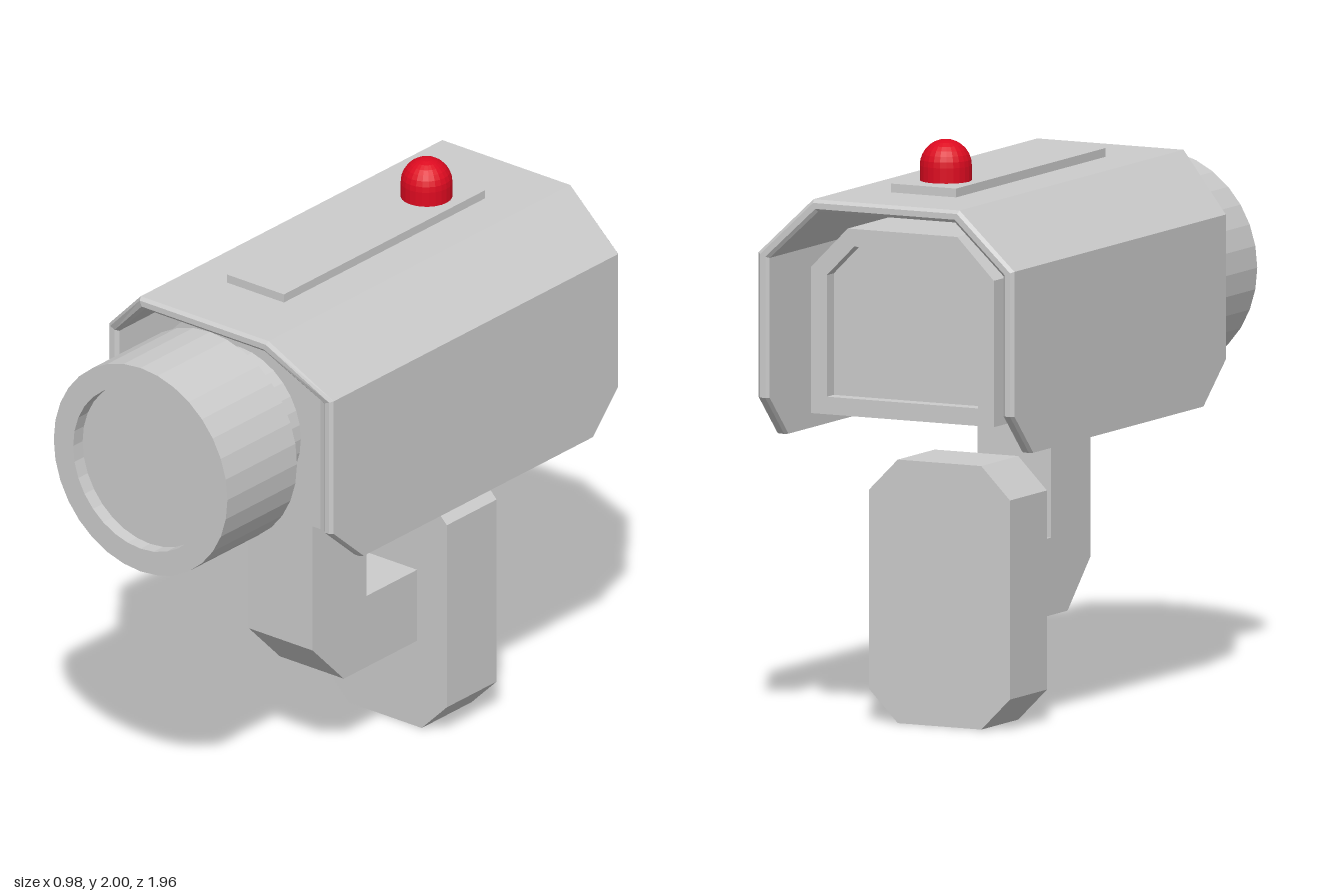
import * as THREE from 'three';

const grey = new THREE.MeshStandardMaterial({ color: 0xcccccc, flatShading: true });
const red = new THREE.MeshStandardMaterial({ color: 0xdd0a20, flatShading: true });

function part(name, geometry, material = grey) {
  const mesh = new THREE.Mesh(geometry, material);
  mesh.name = name;
  return mesh;
}

const toPoints = (list) => list.map(([x, y]) => new THREE.Vector2(x, y));

// Mirrors the +x half of an outline into a closed outline
function mirrored(half) {
  return toPoints([...half, ...half.map(([x, y]) => [-x, y]).reverse()]);
}

// Straight prism from z0 to z1, optionally with a hole
function prism(outline, z0, z1, hole) {
  const shape = new THREE.Shape(outline);
  if (hole) shape.holes.push(new THREE.Path(hole));
  const geo = new THREE.ExtrudeGeometry(shape, { depth: z1 - z0, bevelEnabled: false });
  return geo.translate(0, 0, z0);
}

// Lathe profile turned to point along +z
function turned(profile, segments, y) {
  return new THREE.LatheGeometry(toPoints(profile), segments).rotateX(Math.PI / 2).translate(0, y, 0);
}

// Bent sheet hood: a bevelled wall section carried over the folded path
function hoodGeometry() {
  const t = 0.042, b = 0.011, miter = 0.41;
  // x, y, inward direction, front z, back z
  const half = [
    [0.49, 1.0, -1, 0, 0.40, -0.84],
    [0.49, 1.14, -1, 0, 0.56, -0.975],
    [0.49, 1.635, -1, -miter, 0.56, -0.975],
    [0.28, 1.83, -miter, -1, 0.65, -0.975],
  ];
  const path = [...half, ...half.map(([x, y, dx, ...rest]) => [-x, y, -dx, ...rest]).reverse()];
  const rings = path.map(([x, y, dx, dy, zf, zb]) =>
    [[0, zf - b], [b, zf], [t - b, zf], [t, zf - b], [t, zb + b], [t - b, zb], [b, zb], [0, zb + b]]
      .map(([d, z]) => [x + dx * d, y + dy * d, z]));
  const pos = [];
  const tri = (...corners) => corners.forEach((p) => pos.push(...p));
  for (let i = 0; i < rings.length - 1; i++) {
    for (let j = 0; j < 8; j++) {
      const k = (j + 1) % 8, r = rings[i], s = rings[i + 1];
      tri(r[j], s[j], s[k]);
      tri(r[j], s[k], r[k]);
    }
  }
  const first = rings[0], last = rings[rings.length - 1];
  for (let j = 1; j < 7; j++) {
    tri(first[0], first[j], first[j + 1]);
    tri(last[0], last[j + 1], last[j]);
  }
  const geo = new THREE.BufferGeometry();
  geo.setAttribute('position', new THREE.Float32BufferAttribute(pos, 3));
  geo.computeVertexNormals();
  return geo;
}

export function createModel() {
  const model = new THREE.Group();
  model.name = 'securityCamera';

  // Housing with a recessed rear panel
  const housing = mirrored([[0.35, 1.08], [0.35, 1.58], [0.21, 1.72]]);
  const opening = mirrored([[0.29, 1.14], [0.29, 1.555], [0.185, 1.66]]);
  model.add(part('housing', prism(housing, -0.80, 0.45)));
  model.add(part('rearFrame', prism(housing, -0.85, -0.80, opening)));

  // Folded sheet hood
  model.add(part('hood', hoodGeometry()));

  // Lens barrel: neck, flare, wide barrel, recessed glass
  model.add(part('lensBarrel', turned([
    [0.265, 0.40], [0.265, 0.56], [0.38, 0.61], [0.38, 0.98],
    [0.295, 0.98], [0.295, 0.93], [0, 0.93],
  ], 32, 1.39)));

  // Top strip and warning light
  model.add(part('topStrip', new THREE.BoxGeometry(0.25, 0.035, 1.07).translate(0, 1.8425, -0.165)));
  const dome = [[0, 1.855], [0.088, 1.855]];
  for (let i = 0; i <= 7; i++) {
    const a = (i / 7) * Math.PI / 2;
    dome.push([i === 7 ? 0 : 0.088 * Math.cos(a), 1.912 + 0.088 * Math.sin(a)]);
  }
  model.add(part('warningLight', new THREE.LatheGeometry(toPoints(dome), 24).translate(0, 0, -0.54), red));

  // Bent arm, drawn in z and y, then turned sideways
  const arm = toPoints([
    [0.235, 1.09], [-0.05, 1.09], [-0.05, 0.585], [-0.33, 0.585],
    [-0.33, 0.32], [0.07, 0.32], [0.235, 0.485],
  ]);
  model.add(part('mountArm', prism(arm, -0.14, 0.14).rotateY(-Math.PI / 2)));

  // Wall plate with cut corners
  const plate = mirrored([[0.16, 0], [0.27, 0.11], [0.27, 0.79], [0.16, 0.9]]);
  model.add(part('wallPlate', prism(plate, -0.585, -0.32)));

  return model;
}
